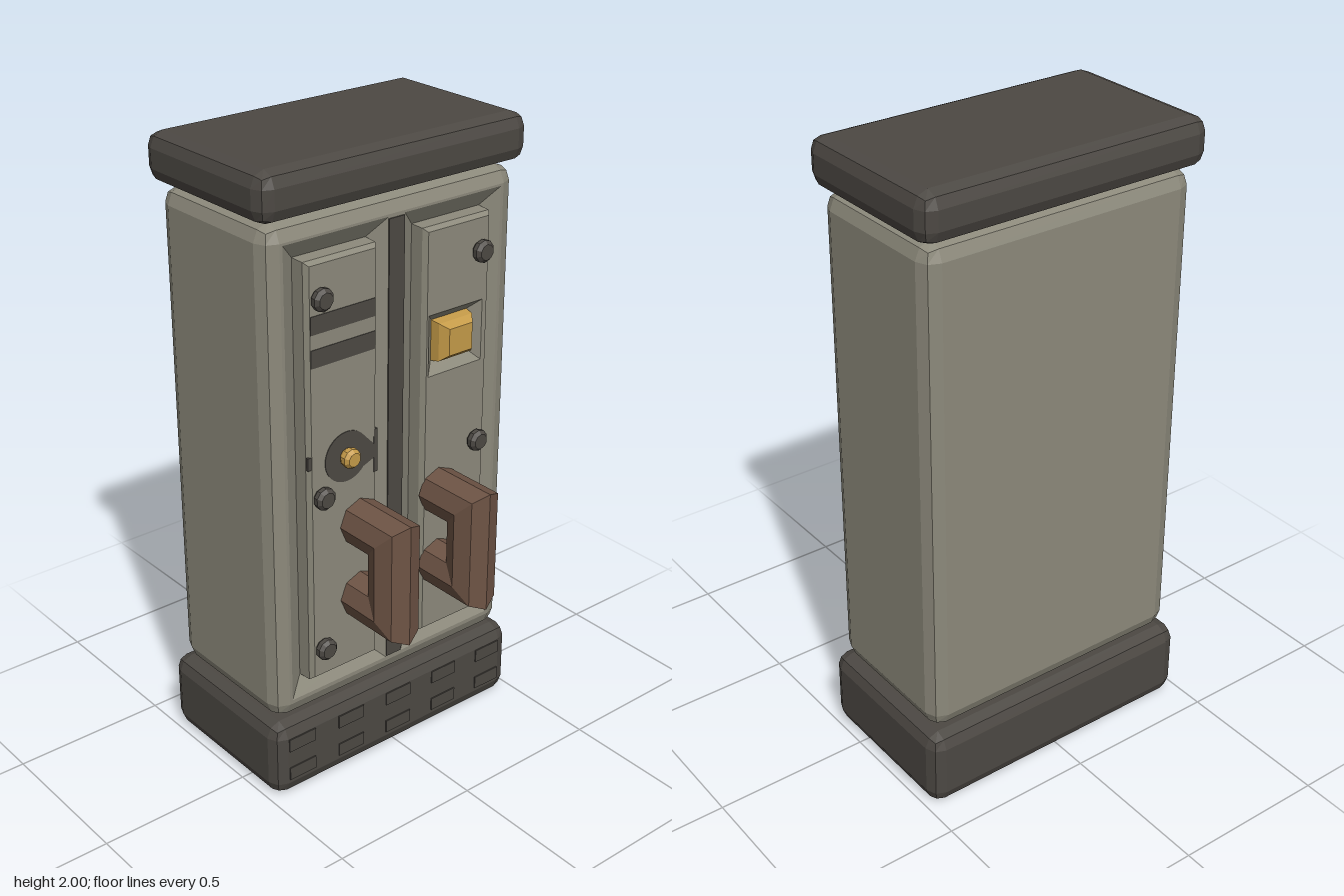
import * as THREE from 'three';
import { RoundedBoxGeometry } from 'three/addons/geometries/RoundedBoxGeometry.js';

const mat = (name, color) => {
  const m = new THREE.MeshStandardMaterial({ color, flatShading: true });
  m.name = name;
  return m;
};

// Joins rings of points (counter-clockwise about the travel direction); cap closes the last ring
function loft(rings, cap = false) {
  const n = rings[0].length, pos = rings.flat(2), idx = [];
  for (let r = 0; r < rings.length - 1; r++) {
    for (let i = 0; i < n; i++) {
      const j = (i + 1) % n, a = r * n, b = a + n;
      idx.push(a + i, a + j, b + j, a + i, b + j, b + i);
    }
  }
  const last = (rings.length - 1) * n;
  if (cap) for (let i = 1; i < n - 1; i++) idx.push(last, last + i, last + i + 1);
  const g = new THREE.BufferGeometry();
  g.setAttribute('position', new THREE.Float32BufferAttribute(pos, 3));
  g.setIndex(idx);
  const flat = g.toNonIndexed();
  flat.computeVertexNormals();
  return flat;
}

const rect = (x0, x1, y0, y1, z) => [[x0, y0, z], [x1, y0, z], [x1, y1, z], [x0, y1, z]];

// Flat rectangle facing forward with rectangular holes
function plate(outer, holes, z) {
  const pts = (r) => r.map(([x, y]) => new THREE.Vector2(x, y));
  const shape = new THREE.Shape(pts(outer));
  for (const h of holes) shape.holes.push(new THREE.Path(pts(h)));
  return new THREE.ShapeGeometry(shape).translate(0, 0, z);
}

export function createModel() {
  const group = new THREE.Group();
  const olive = mat('olive grey', 0x8c897b);
  const dark = mat('dark grey', 0x4c4843);
  const brown = mat('brown', 0x6e5445);
  const gold = mat('gold', 0xc49a48);

  const add = (name, geo, material, x = 0, y = 0, z = 0) => {
    const m = new THREE.Mesh(geo, material);
    m.name = name;
    m.position.set(x, y, z);
    group.add(m);
    return m;
  };
  const box = (name, x0, x1, y0, y1, z0, z1, material) =>
    add(name, new THREE.BoxGeometry(x1 - x0, y1 - y0, z1 - z0), material,
      (x0 + x1) / 2, (y0 + y1) / 2, (z0 + z1) / 2);

  // Plinth and top slab
  add('base', new RoundedBoxGeometry(0.97, 0.255, 0.56, 1, 0.045), dark, 0, 0.1275, -0.115);
  add('topSlab', new RoundedBoxGeometry(0.97, 0.15, 0.56, 1, 0.045), dark, 0, 1.925, -0.115);

  // Cabinet body, with its flat front left out for the door openings
  const shell = new RoundedBoxGeometry(0.92, 1.58, 0.505, 1, 0.05);
  const p = shell.attributes.position, kept = [];
  for (let i = 0; i < p.count; i += 3) {
    const front = [0, 1, 2].every((k) => p.getZ(i + k) > 0.252);
    if (!front) for (let k = 0; k < 3; k++) kept.push(p.getX(i + k), p.getY(i + k), p.getZ(i + k));
  }
  const body = new THREE.BufferGeometry();
  body.setAttribute('position', new THREE.Float32BufferAttribute(kept, 3));
  body.computeVertexNormals();
  add('body', body, olive, 0, 1.052, -0.1125);

  const opening = (s, d, z) => {
    const a = 0.03 + d, b = 0.4 - d;
    return s > 0 ? rect(a, b, 0.325 + d, 1.785 - d, z) : rect(-b, -a, 0.325 + d, 1.785 - d, z);
  };
  add('frontFrame', plate(rect(-0.41, 0.41, 0.312, 1.792, 0),
    [opening(1, 0, 0), opening(-1, 0, 0)], 0.14), olive);

  // Doors: sloped recess with a raised panel; the left one has a lock pocket
  const pocket = rect(0.105, 0.315, 1.265, 1.46, 0.165);
  const pocketFloor = rect(0.14, 0.28, 1.3, 1.43, 0.135);
  for (const s of [1, -1]) {
    const side = s > 0 ? 'left' : 'right';
    add(side + 'DoorSurround',
      loft([opening(s, 0, 0.14), opening(s, 0.055, 0.105), opening(s, 0.057, 0.15), opening(s, 0.068, 0.165)]), olive);
    add(side + 'DoorPanel', plate(opening(s, 0.068, 0), s > 0 ? [pocket] : [], 0.165), olive);

    // Octagonal mitred handle
    const ring = (y, z, dy, dz) => Array.from({ length: 8 }, (_, i) => {
      const a = i * Math.PI / 4, v = 0.075 * Math.sin(a);
      return [s * 0.155 + 0.075 * Math.cos(a), y + dy * v, z + dz * v];
    });
    add(side + 'Handle', loft([ring(0.875, 0.16, 1, 0), ring(0.875, 0.32, 1, 1),
      ring(0.625, 0.32, -1, 1), ring(0.625, 0.16, -1, 0)]), brown);
  }
  add('lockPocket', loft([pocket, pocketFloor], true), olive);
  add('lockBlock', loft([pocketFloor, rect(0.145, 0.275, 1.305, 1.425, 0.165),
    rect(0.165, 0.255, 1.325, 1.41, 0.19)], true), gold);

  // Bolts and the gold knob
  const knob = (r, h) => new THREE.LatheGeometry(
    [[r * 0.75, 0], [r, h * 0.3], [r, h * 0.7], [r * 0.7, h], [0, h]].map(([x, y]) => new THREE.Vector2(x, y)), 10)
    .rotateX(Math.PI / 2);
  for (const x of [-0.3, 0.297]) {
    for (const y of [0.49, 1.005, 1.62]) add('bolt', knob(0.035, 0.036), dark, x, y, 0.164);
  }
  add('keyKnob', knob(0.031, 0.04), gold, -0.207, 1.108, 0.166);

  // Dark seam between the doors, swelling slightly at the latch
  box('doorSeam', -0.03, 0.027, 0.33, 1.78, 0.138, 0.144, dark);

  // Dark slots and key plate on the right door
  box('upperSlot', -0.331, -0.1, 1.515, 1.57, 0.163, 0.167, dark);
  box('lowerSlot', -0.331, -0.1, 1.415, 1.47, 0.163, 0.167, dark);
  const key = new THREE.Shape();
  key.absarc(-0.205, 1.105, 0.08, 0.7, -0.7 + Math.PI * 2, false);
  key.lineTo(-0.1, 1.07);
  key.lineTo(-0.1, 1.11);
  add('keyPlate', new THREE.ExtrudeGeometry(key, { depth: 0.004, bevelEnabled: false, curveSegments: 16 }),
    dark, 0, 0, 0.163);
  box('latchMark', -0.103, -0.089, 1.02, 1.16, 0.155, 0.166, dark);
  box('smallMark', -0.345, -0.33, 1.1, 1.14, 0.155, 0.164, dark);

  // Two rows of thin blocks on the plinth
  for (const y of [0.08, 0.185]) {
    for (let i = -2; i <= 2; i++) {
      const x = i * 0.193;
      box('plinthBlock', x - 0.05, x + 0.05, y - 0.022, y + 0.022, 0.162, 0.169, dark);
    }
  }
  return group;
}
